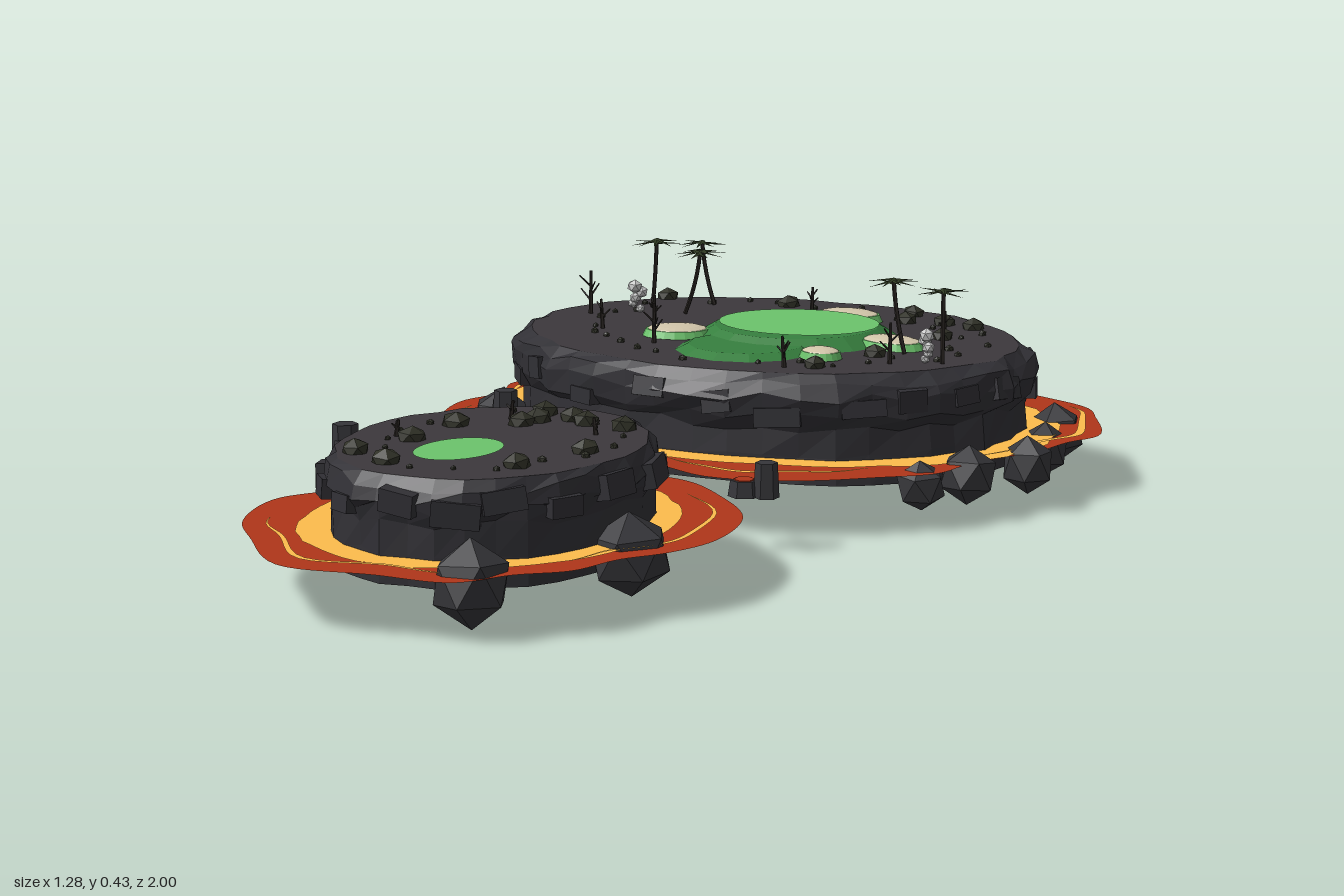
import * as THREE from 'three';

let seed = 7;
const rnd = (a = 0, b = 1) => {
  seed = (seed * 16807) % 2147483647;
  return a + (b - a) * (seed / 2147483647);
};
const V = (x, y, z) => new THREE.Vector3(x, y, z);
const mat = (color) => new THREE.MeshStandardMaterial({ color, flatShading: true, roughness: 0.9, side: THREE.DoubleSide });
const M = {
  cliff: mat(0x313035), ground: mat(0x3c383c), boulder: mat(0x36363a), lava: mat(0xb0361a),
  glow: mat(0xfdbd4c), moss: mat(0x37803f), pool: mat(0x6cc46c), sand: mat(0xd2c6aa),
  shrub: mat(0x2f3026), leaf: mat(0x2f3a22), wood: mat(0x2a2522), steam: mat(0xd6d6d6),
};
const LAVA_Y = 0.11;

function add(parent, name, geo, material, x = 0, y = 0, z = 0) {
  const m = new THREE.Mesh(geo, material);
  m.name = name;
  m.position.set(x, y, z);
  parent.add(m);
  return m;
}

// Horizontal sheet from [x, z] points
function sheet(parent, name, pts, y, material) {
  const shape = new THREE.Shape(pts.map(([x, z]) => new THREE.Vector2(x, -z)));
  return add(parent, name, new THREE.ShapeGeometry(shape).rotateX(-Math.PI / 2), material, 0, y, 0);
}
function ellipse(cx, cz, rx, rz, n = 28, wobble = 0) {
  return Array.from({ length: n }, (_, i) => {
    const a = (i / n) * Math.PI * 2, k = 1 + rnd(-wobble, wobble);
    return [cx + Math.cos(a) * rx * k, cz + Math.sin(a) * rz * k];
  });
}

// Faceted cliff built from jittered rings: columns below, a rounded rim above
function island(parent, cx, cz, rx, rz, top, n) {
  const rows = [[0.065, 0.965], [0.12, 0.955], [0.175, 0.95], [0.2, 0.985], [top - 0.04, 1], [top - 0.015, 0.98], [top, 0.93]];
  const outline = Array.from({ length: n }, () => rnd(-0.016, 0.016));
  const columns = Array.from({ length: n }, () => rnd(-0.02, 0.02));
  const pos = [], idx = [];
  rows.forEach(([y, s], r) => {
    for (let j = 0; j < n; j++) {
      const a = (j / n) * Math.PI * 2;
      const k = s + (r < 3 ? columns[j] + rnd(-0.006, 0.006) : outline[j] + rnd(-0.012, 0.012));
      const dy = r === 0 || r === 6 ? 0 : rnd(-0.012, 0.008);
      pos.push(cx + Math.cos(a) * rx * k, y + dy, cz + Math.sin(a) * rz * k);
    }
  });
  for (let r = 0; r < rows.length - 1; r++) for (let j = 0; j < n; j++) {
    const a = r * n + j, b = r * n + (j + 1) % n;
    idx.push(a, a + n, b, b, a + n, b + n);
  }
  const rim = [];
  for (let j = 0; j < n; j++) {
    const p = ((rows.length - 1) * n + j) * 3;
    rim.push([pos[p], pos[p + 2]]);
  }
  const base = pos.length / 3;
  pos.push(cx, 0.065, cz);
  for (let j = 0; j < n; j++) idx.push(base, j, (j + 1) % n);
  let geo = new THREE.BufferGeometry();
  geo.setAttribute('position', new THREE.Float32BufferAttribute(pos, 3));
  geo.setIndex(idx);
  geo = geo.toNonIndexed();
  geo.computeVertexNormals();
  add(parent, 'cliff', geo, M.cliff);
  sheet(parent, 'ground', rim, top, M.ground);
  // Tilted ledge blocks half sunk into the upper cliff
  for (let j = 0; j < n; j += 2) {
    const a = ((j + rnd(0, 1.2)) / n) * Math.PI * 2;
    const x = Math.cos(a) * rx * 0.955, z = Math.sin(a) * rz * 0.955;
    const geoBlock = new THREE.BoxGeometry(rnd(0.05, 0.09), rnd(0.03, 0.045), 0.045).rotateX(rnd(-0.25, 0.1)).rotateZ(rnd(-0.15, 0.15));
    const block = add(parent, 'ledgeBlock', geoBlock, M.cliff, cx + x, rnd(0.19, top - 0.035), cz + z);
    block.rotation.y = Math.atan2(x / rx / rx, z / rz / rz);
  }
}

// Lava sheet with a glowing ring at the shore and thin glowing streaks
function lava(parent, outline, cx, cz, rx, rz, streaks) {
  const curve = new THREE.CatmullRomCurve3(outline.map(([x, z]) => V(x, 0, z)), true);
  const n = outline.length;
  sheet(parent, 'lava', curve.getPoints(120).slice(0, -1).map((p) => [p.x, p.z]), LAVA_Y, M.lava);
  sheet(parent, 'shoreGlow', ellipse(cx, cz, rx, rz, 60, 0.014), LAVA_Y + 0.003, M.glow);
  for (const [from, to, scale] of streaks) {
    const inner = [], outer = [];
    for (let i = 0; i <= 24; i++) {
      const p = curve.getPoint((((from + ((to - from) * i) / 24) / n) + 1) % 1);
      const w = 0.013 * Math.sin((Math.PI * (i + 1)) / 26), s = scale + 0.012 * Math.sin(i * 0.7);
      outer.push([cx + (p.x - cx) * (s + w), cz + (p.z - cz) * (s + w)]);
      inner.unshift([cx + (p.x - cx) * (s - w), cz + (p.z - cz) * (s - w)]);
    }
    sheet(parent, 'lavaStreak', outer.concat(inner), LAVA_Y + 0.005, M.glow);
  }
}

// Icosahedron standing on one point
function boulder(parent, name, x, y, z, r, material = M.boulder, tall = 1) {
  const m = add(parent, name, new THREE.IcosahedronGeometry(r, 0).rotateZ(-0.5536), material, x, y, z);
  m.rotation.set(rnd(-0.15, 0.15), rnd(0, 6), rnd(-0.15, 0.15));
  m.scale.set(rnd(0.95, 1.15), tall, rnd(0.95, 1.15));
}
function pillar(parent, x, z, r, y0, y1, hot) {
  add(parent, 'basaltPillar', new THREE.CylinderGeometry(r * 0.85, r, y1 - y0, 6), M.boulder, x, (y0 + y1) / 2, z);
  if (hot) add(parent, 'pillarGlow', new THREE.CylinderGeometry(r * 0.65, r * 0.65, 0.004, 6), M.lava, x, y1, z);
}
function stick(parent, name, a, b, r) {
  const m = add(parent, name, new THREE.CylinderGeometry(r * 0.55, r, a.distanceTo(b), 5), M.wood);
  m.position.copy(a).lerp(b, 0.5);
  m.quaternion.setFromUnitVectors(V(0, 1, 0), b.clone().sub(a).normalize());
}
function palm(parent, x, z, h, lean) {
  const g = new THREE.Group();
  g.name = 'palm';
  g.position.set(x, 0.278, z);
  parent.add(g);
  const path = new THREE.QuadraticBezierCurve3(V(lean, 0, 0), V(lean * 0.2, h * 0.5, 0), V(0, h, 0));
  add(g, 'palmTrunk', new THREE.TubeGeometry(path, 6, 0.0045, 5), M.wood);
  for (let i = 0; i < 9; i++) {
    const leaf = new THREE.Group();
    leaf.name = 'palmLeaf';
    leaf.position.y = h;
    leaf.rotation.y = (i / 9) * Math.PI * 2 + x * 9;
    const blade = add(leaf, 'leafBlade', new THREE.ConeGeometry(0.007, 0.055, 4), M.leaf, 0.027, rnd(-0.004, 0.002), 0);
    blade.rotation.z = -Math.PI / 2 - rnd(-0.05, 0.2);
    blade.scale.x = 0.35;
    g.add(leaf);
  }
}
function deadTree(parent, x, z, y, h) {
  const g = new THREE.Group();
  g.name = 'deadTree';
  g.position.set(x, y, z);
  parent.add(g);
  stick(g, 'deadTrunk', V(0, 0, 0), V(rnd(-0.006, 0.006), h, 0), 0.005);
  for (let i = 0; i < 4; i++) {
    const a = i * 1.9 + x * 7, s = h * (0.3 + i * 0.11), l = h * 0.26;
    stick(g, 'deadBranch', V(0, s, 0), V(Math.cos(a) * l, s + l, Math.sin(a) * l), 0.0025);
  }
}

export function createModel() {
  const root = new THREE.Group();
  root.name = 'volcanicIslands';
  const big = new THREE.Group(), small = new THREE.Group();
  big.name = 'largeIsland';
  small.name = 'smallIsland';
  root.add(big, small);

  island(big, -0.015, -0.48, 0.55, 0.425, 0.277, 46);
  island(small, -0.03, 0.55, 0.28, 0.33, 0.25, 34);

  lava(big, [[-.05, -1], [-.2, -.97], [-.36, -.965], [-.47, -.87], [-.59, -.69], [-.61, -.6], [-.645, -.5], [-.61, -.4], [-.635, -.28],
    [-.565, -.09], [-.45, .025], [-.32, .01], [-.16, .035], [0, .035], [.14, .08], [.3, .03], [.42, -.07], [.5, -.15], [.52, -.26],
    [.59, -.42], [.61, -.52], [.64, -.61], [.57, -.77], [.52, -.85], [.4, -.91], [.24, -.965], [.1, -.975]],
  -0.005, -0.475, 0.59, 0.45, [[3, 7.5, 0.95], [24.8, 27.4, 0.95], [18, 23, 0.95], [8.3, 11.8, 0.93], [13, 16, 0.91]]);
  lava(small, [[.1, .12], [-.15, .16], [-.31, .26], [-.4, .4], [-.405, .5], [-.455, .61], [-.41, .77], [-.32, .87], [-.17, .995], [0, .97],
    [.14, .95], [.2, .86], [.27, .79], [.3, .69], [.35, .61], [.38, .5], [.345, .33], [.24, .21]],
  -0.035, 0.555, 0.32, 0.365, [[12, 17.2, 0.88], [6, 10.4, 0.89], [0.3, 2.2, 0.9]]);

  // Mossy mound with a pool, an apron and low sandy patches
  add(big, 'mossMound', new THREE.CylinderGeometry(0.165, 0.205, 0.024, 18), M.moss, 0.04, 0.288, -0.48);
  add(big, 'mossApron', new THREE.CylinderGeometry(0.115, 0.14, 0.012, 12), M.moss, 0.02, 0.283, -0.3);
  sheet(big, 'pool', ellipse(0.04, -0.49, 0.165, 0.145), 0.303, M.pool);
  const patches = [[.055, -.69, .075, .053, .1], [.26, -.455, .075, .05, .2], [-.17, -.365, .07, .058, -.4], [.19, -.285, .045, .038, .3]];
  for (const [x, z, rx, rz, rot] of patches) {
    const rim = add(big, 'patchRim', new THREE.CylinderGeometry(0.9, 1, 0.014, 20), M.pool, x, 0.285, z);
    rim.scale.set(rx, 1, rz);
    rim.rotation.y = -rot;
    const patch = add(big, 'sandPatch', new THREE.SphereGeometry(1, 20, 4, 0, Math.PI * 2, 0, Math.PI / 2), M.sand, x, 0.29, z);
    patch.scale.set(rx * 0.88, 0.01, rz * 0.88);
    patch.rotation.y = -rot;
  }
  sheet(small, 'pool', ellipse(-0.035, 0.655, 0.07, 0.095), 0.256, M.pool);

  // Boulders around both shores: x, y, z, radius
  for (const [x, y, z, r] of [[-.39, .085, -.83, .05], [-.48, .09, -.74, .038], [.51, .085, -.71, .055], [.54, .08, -.57, .05],
    [.575, .085, -.405, .052], [.51, .085, -.27, .052], [.46, .08, -.165, .045], [-.53, .085, -.27, .062], [-.35, .079, -.07, .072], [-.24, .085, -.02, .035]]) {
    boulder(big, 'shoreBoulder', x, y, z, r, M.boulder, 1.1);
  }
  for (const [x, y, z, r] of [[-.06, .105, .195, .042], [-.34, .085, .48, .068], [.26, .09, .58, .068], [.125, .088, .87, .07]]) {
    boulder(small, 'shoreBoulder', x, y, z, r, M.boulder, 1.1);
  }

  // Basalt pillars beside the shores and out between the islands
  [[-.42, .44, .028, .09, .22], [-.38, -.05, .027, .08, .2], [-.33, -.03, .025, .08, .15], [-.41, -.09, .025, .08, .17]]
    .forEach((p) => pillar(root, ...p, false));
  pillar(root, -0.305, 0.095, 0.034, 0.1, 0.13, true);
  pillar(root, 0.25, 0.145, 0.03, 0.1, 0.13, true);
  pillar(root, 0.29, 0.135, 0.024, 0.1, 0.165, false);

  // Palms, dead trees and steam vents
  [[-.3, -.71, .13, .03], [-.36, -.62, .14, -.01], [-.24, -.59, .13, -.035], [.29, -.4, .14, .025], [.42, -.345, .14, 0]]
    .forEach((p) => palm(big, ...p));
  [[-.45, -.5, .09], [-.17, -.27, .08], [.17, -.17, .06], [.33, -.3, .08], [-.27, -.45, .06], [-.34, -.36, .06], [.3, -.62, .05], [-.06, -.75, .05]]
    .forEach(([x, z, h]) => deadTree(big, x, z, 0.277, h));
  [[-.1, .38, .035], [.1, .42, .03], [-.2, .6, .03]].forEach(([x, z, h]) => deadTree(small, x, z, 0.25, h));
  for (const [x, z] of [[-.37, -.555], [.395, -.335]]) {
    for (let i = 0; i < 5; i++) {
      boulder(big, 'steamPuff', x + rnd(-.01, .01), 0.285 + i * 0.012, z + rnd(-.01, .01), 0.009 + i * 0.0015, M.steam);
    }
  }

  // Scrubby rocks on the ground
  for (const [x, z] of [[-.13, -.78], [.15, -.8], [.25, -.735], [.17, -.72], [.31, -.59], [.32, -.72], [.22, -.2], [-.4, -.74], [.27, -.36]]) {
    boulder(big, 'scrubRock', x, 0.281, z, 0.024, M.shrub, 0.8);
  }
  for (const [x, z] of [[-.07, .31], [.04, .35], [-.05, .37], [.12, .355], [-.16, .47], [.155, .55], [-.16, .61], [.11, .7], [-.19, .74], [-.1, .78], [0, .33], [-.06, .41]]) {
    boulder(small, 'scrubRock', x, 0.254, z, 0.026, M.shrub, 0.8);
  }
  for (let i = 0; i < 30; i++) {
    const a = i * 2.4, k = rnd(0.74, 0.92);
    boulder(big, 'pebble', -.015 + Math.cos(a) * .5 * k, 0.279, -.48 + Math.sin(a) * .38 * k, rnd(.005, .01), M.shrub);
    if (i % 2) boulder(small, 'pebble', -.03 + Math.cos(a) * .24 * k, 0.252, .55 + Math.sin(a) * .28 * k, rnd(.005, .009), M.shrub);
  }
  return root;
}
